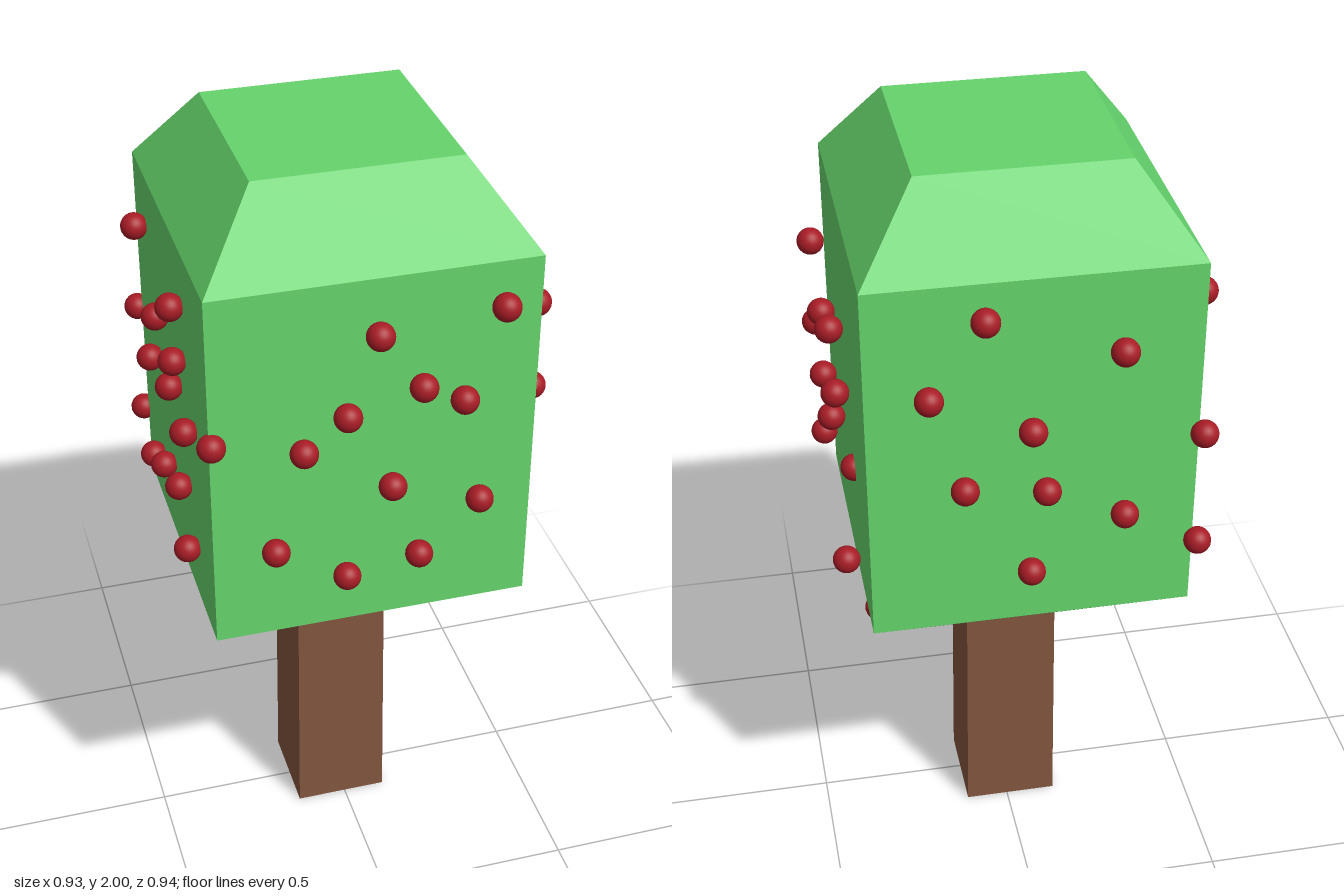
import * as THREE from 'three';

const CENTRE = -0.01; // trunk and crown axis in x and z

// Square solid of flat faces from [half width, height] steps, bottom to top
function squareStack(steps) {
  const points = steps.map(([half, y]) => new THREE.Vector2(half * Math.SQRT2, y));
  const geometry = new THREE.LatheGeometry(points, 4, Math.PI / 4);
  return geometry.translate(CENTRE, 0, CENTRE);
}

export function createModel() {
  const tree = new THREE.Group();
  tree.name = 'fruitTree';

  const bark = new THREE.MeshStandardMaterial({ color: 0x82563f, flatShading: true });
  const leaf = new THREE.MeshStandardMaterial({ color: 0x66d46c, flatShading: true });
  const red = new THREE.MeshStandardMaterial({ color: 0xa81c26 });

  // Square trunk, slightly wider at the foot
  const trunk = new THREE.Mesh(squareStack([[0, 0], [0.122, 0], [0.118, 0.64], [0, 0.64]]), bark);
  trunk.name = 'trunk';

  // Boxy crown with sloped underside and sloped shoulders
  const crown = new THREE.Mesh(
    squareStack([[0, 0.63], [0.116, 0.63], [0.395, 0.86], [0.395, 1.8], [0.25, 2], [0, 2]]), leaf);
  crown.name = 'crown';
  tree.add(trunk, crown);

  // Fruit on each side of the crown, as x, y, z
  const fruit = {
    front: [
      [0.28, 1.71, 0.435], [-0.01, 1.67, 0.417], [0.09, 1.53, 0.435], [0.19, 1.48, 0.435],
      [-0.09, 1.48, 0.435], [-0.19, 1.39, 0.42], [0.02, 1.27, 0.435], [0.245, 1.18, 0.417],
      [-0.26, 1.12, 0.417], [0.09, 1.06, 0.435], [-0.085, 1.015, 0.417], [-0.4, 1.425, 0.39],
    ],
    left: [
      [0.43, 1.6, 0.25], [0.43, 1.57, -0.14], [0.43, 1.51, 0.05], [0.43, 1.44, -0.215],
      [0.43, 1.37, 0.25], [0.43, 1.305, 0.095], [0.43, 1.29, -0.08], [0.385, 1.16, -0.12],
      [0.43, 1.09, 0.165], [0.43, 1, -0.28], [0.35, 0.79, -0.215], [0.24, 0.715, 0.045],
    ],
    back: [
      [0.11, 1.72, -0.437], [0.24, 1.53, -0.437], [-0.21, 1.61, -0.437], [0, 1.42, -0.437],
      [0.16, 1.275, -0.437], [-0.035, 1.25, -0.437], [-0.225, 1.16, -0.437], [0, 1.02, -0.437],
      [-0.415, 1.355, -0.42], [-0.415, 1.045, -0.42],
    ],
    right: [
      [-0.433, 1.66, 0.14], [-0.433, 1.66, -0.28], [-0.433, 1.515, 0.14], [-0.433, 1.525, -0.06],
      [-0.433, 1.38, 0.24], [-0.433, 1.41, 0.08], [-0.433, 1.35, -0.165], [-0.433, 1.16, 0.14],
      [-0.433, 1.1, -0.05], [-0.433, 1.02, 0.21], [-0.433, 1.035, -0.2], [-0.31, 0.755, 0.13],
    ],
  };
  const berry = new THREE.SphereGeometry(0.034, 24, 16);
  for (const [side, places] of Object.entries(fruit)) {
    const group = new THREE.Group();
    group.name = `${side}Fruit`;
    for (const place of places) {
      const mesh = new THREE.Mesh(berry, red);
      mesh.name = 'fruit';
      mesh.position.set(...place);
      group.add(mesh);
    }
    tree.add(group);
  }
  return tree;
}
